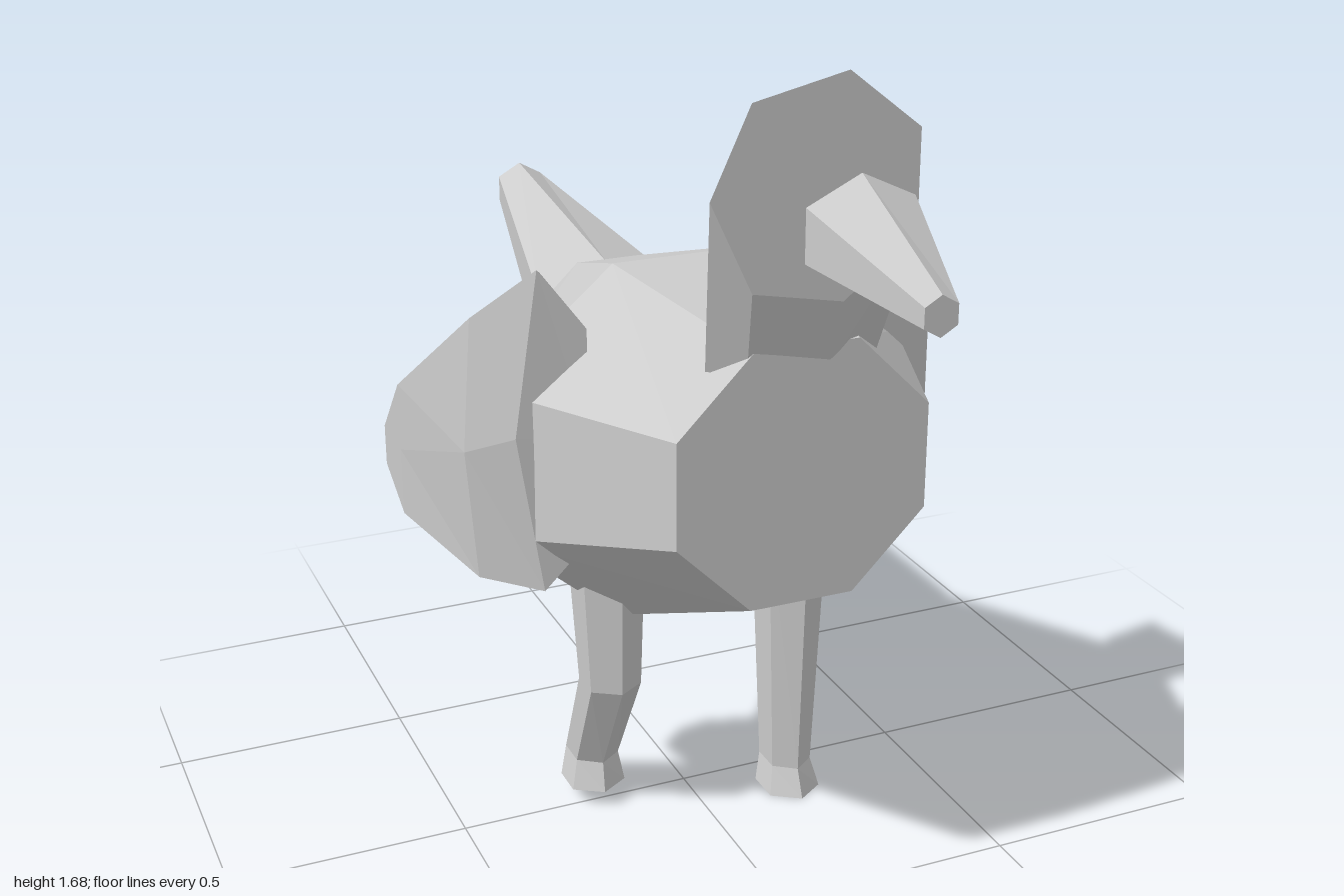
import * as THREE from 'three';

const grey = new THREE.MeshStandardMaterial({ color: 0xcccccc });
grey.name = 'plain grey';

// Faceted closed skin through rings of equal point count, capped at both ends
function loft(name, rings) {
  const tris = [], n = rings[0].length;
  for (let r = 0; r < rings.length - 1; r++) {
    for (let i = 0; i < n; i++) {
      const j = (i + 1) % n, a = rings[r], b = rings[r + 1];
      tris.push([a[i], a[j], b[j]], [a[i], b[j], b[i]]);
    }
  }
  const first = rings[0], last = rings[rings.length - 1];
  for (let i = 1; i < n - 1; i++) {
    tris.push([first[0], first[i + 1], first[i]], [last[0], last[i], last[i + 1]]);
  }
  // Turn the skin outwards, judged by its signed volume
  const v = (p) => new THREE.Vector3(...p);
  const volume = tris.reduce((s, [a, b, c]) => s + v(a).dot(v(b).cross(v(c))), 0);
  if (volume < 0) tris.forEach((t) => t.reverse());
  const geometry = new THREE.BufferGeometry();
  geometry.setAttribute('position', new THREE.Float32BufferAttribute(tris.flat(2), 3));
  geometry.computeVertexNormals();
  const mesh = new THREE.Mesh(geometry, grey);
  mesh.name = name;
  return mesh;
}

// Upright regular ring facing z; rx and ry are corner radii
function ringZ(n, z, y, rx, ry, turn = 0) {
  return Array.from({ length: n }, (_, i) => {
    const a = ((i + turn) / n) * Math.PI * 2;
    return [Math.sin(a) * rx, y + Math.cos(a) * ry, z];
  });
}

// Level six-sided ring with corners at front and back; w is the half width in x
function legRing([x, y, z, w, d]) {
  return Array.from({ length: 6 }, (_, i) => {
    const a = (i / 6) * Math.PI * 2;
    return [x + (Math.sin(a) * w) / 0.866, y, z + Math.cos(a) * d];
  });
}

// Bent plate; each column is x, z, bottom, top, bulge in x, then the thickness step in x and z
function wing(name, columns) {
  return loft(name, columns.map(([x, z, lo, hi, bulge, tx, tz]) => {
    const mid = (lo + hi) / 2;
    return [
      [x, lo, z], [x + bulge, mid, z], [x, hi, z],
      [x + tx, hi - 0.02, z + tz], [x + bulge + tx, mid, z + tz], [x + tx, lo + 0.02, z + tz],
    ];
  }));
}

export function createModel() {
  const bird = new THREE.Group();
  bird.name = 'bird';
  const k = 1 / Math.cos(Math.PI / 8);

  // Eight-sided body, widest in the middle
  bird.add(loft('body', [
    ringZ(8, 0.55, 0.94, 0.25 * k, 0.25 * k, 0.5),
    ringZ(8, 0.08, 0.852, 0.44 * k, 0.375 * k, 0.5),
    ringZ(8, -0.42, 0.91, 0.17 * k, 0.16 * k, 0.5),
  ]));

  // Six-sided tail, rising to the back
  bird.add(loft('tail', [
    ringZ(6, -0.415, 0.945, 0.16 / 0.866, 0.115),
    ringZ(6, -1, 1.087, 0.052 / 0.866, 0.058),
  ]));

  // Seven-sided head and neck, cut off flat at the face
  const face = [[0.05, 1.68], [0.19, 1.57], [0.19, 1.385], [0.05, 1.275],
    [-0.125, 1.31], [-0.205, 1.48], [-0.13, 1.64]];
  bird.add(loft('headAndNeck', [
    face.map(([x, y]) => [x, y, 0.585]),
    [[0.045, 1.16, 0.44], [0.15, 1.15, 0.457], [0.165, 1.145, 0.5], [0.045, 1.14, 0.545],
      [-0.11, 1.14, 0.535], [-0.17, 1.145, 0.49], [-0.11, 1.16, 0.445]],
  ]));

  // Beak, standing clear of the face
  bird.add(loft('beak', [
    ringZ(6, 0.73, 1.45, 0.1 / 0.866, 0.095),
    ringZ(6, 1, 1.385, 0.03 / 0.866, 0.035),
  ]));

  // Wings, curving outwards and back
  bird.add(wing('leftWing', [
    [0.33, 0.205, 0.622, 1.272, 0, -0.005, -0.04],
    [0.415, 0.185, 0.632, 1.2, 0, -0.03, -0.05],
    [0.46, 0.145, 0.64, 1.16, 0, -0.04, -0.04],
    [0.525, 0.065, 0.71, 1.06, 0, -0.05, -0.02],
    [0.598, -0.08, 0.778, 0.947, 0, -0.04, 0.015],
  ]));
  bird.add(wing('rightWing', [
    [-0.285, 0.208, 0.72, 1.15, 0, 0.005, -0.03],
    [-0.376, 0.197, 0.622, 1.272, -0.05, 0.02, -0.04],
    [-0.482, 0.115, 0.636, 1.168, -0.02, 0.045, -0.03],
    [-0.582, -0.045, 0.724, 0.996, 0, 0.045, 0],
    [-0.602, -0.083, 0.82, 0.9, 0, 0.035, 0.015],
  ]));

  // Legs: the left one stands, the right one is bent and lifted
  bird.add(loft('leftLeg', [
    [0.205, 0.62, 0.08, 0.066, 0.09], [0.203, 0.06, 0.085, 0.045, 0.066],
    [0.203, 0, 0.1, 0.058, 0.076],
  ].map(legRing)));
  bird.add(loft('rightLeg', [
    [-0.205, 0.62, 0.08, 0.066, 0.09], [-0.2, 0.33, 0.08, 0.055, 0.07],
    [-0.197, 0.1, -0.043, 0.047, 0.067], [-0.2, 0.038, -0.032, 0.059, 0.073],
  ].map(legRing)));

  return bird;
}
